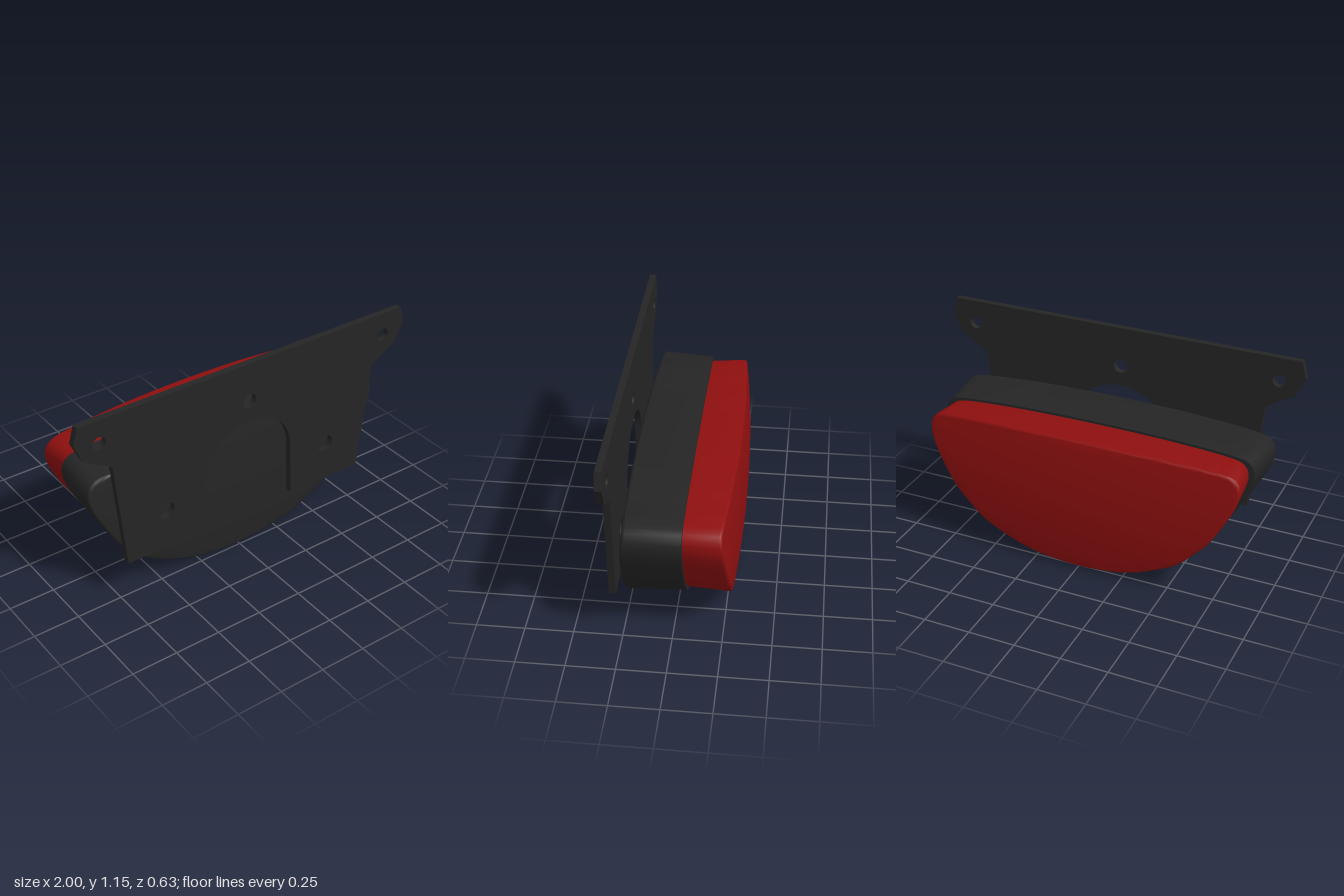
import * as THREE from 'three';
import { toCreasedNormals } from 'three/addons/utils/BufferGeometryUtils.js';

const HALF_W = 0.89, HALF_H = 0.39, MID_Y = 0.395;

// D-shaped lamp outline, anticlockwise, mirrored from its right half
function lampOutline() {
  const right = [[0.16, 0.015], [0.31, 0.043], [0.45, 0.1], [0.578, 0.171], [0.675, 0.267],
    [0.739, 0.337], [0.845, 0.52], [0.875, 0.59], [0.89, 0.655], [0.882, 0.71], [0.85, 0.742],
    [0.79, 0.756], [0.5, 0.776], [0.25, 0.783]];
  const left = right.map(([x, y]) => [-x, y]).reverse();
  const pts = [[0, 0.005], ...right, [0, 0.785], ...left];
  const curve = new THREE.CatmullRomCurve3(pts.map(([x, y]) => new THREE.Vector3(x, y, 0)), true);
  return curve.getSpacedPoints(144).slice(0, -1);
}

// Closed shell: flat base, flared wall, rounded rim and bowed face towards dir * z
function shell(outline, { base, baseScale, rimScale, crown, bowX, bowY, radius, dir }) {
  const ring = (scale, inset, zRule) => outline.map((p) => {
    const u = (p.x / HALF_W) * scale, v = ((p.y - MID_Y) / HALF_H) * scale;
    return new THREE.Vector3(u * (HALF_W - inset), MID_Y + v * (HALF_H - inset), zRule(u, v));
  });
  const face = (u, v) => crown - dir * (bowX * u * u + bowY * v * v);
  const rings = [ring(0, 0, () => base), ring(baseScale, 0, () => base)];
  for (let i = 0; i <= 5; i++) {
    const a = (i / 5) * Math.PI / 2;
    rings.push(ring(rimScale, radius * (1 - Math.cos(a)),
      (u, v) => face(u, v) - dir * radius * (1 - Math.sin(a))));
  }
  for (let i = 7; i >= 0; i--) rings.push(ring(rimScale * i / 8, radius, face));

  const pos = [];
  const tri = (a, b, c) => {
    if (a.equals(b) || b.equals(c) || a.equals(c)) return;
    for (const p of dir > 0 ? [a, b, c] : [a, c, b]) pos.push(p.x, p.y, p.z);
  };
  const n = outline.length;
  for (let i = 0; i < rings.length - 1; i++) {
    for (let j = 0; j < n; j++) {
      const k = (j + 1) % n;
      tri(rings[i][j], rings[i][k], rings[i + 1][k]);
      tri(rings[i][j], rings[i + 1][k], rings[i + 1][j]);
    }
  }
  const geo = new THREE.BufferGeometry();
  geo.setAttribute('position', new THREE.Float32BufferAttribute(pos, 3));
  return toCreasedNormals(geo, 0.7);
}

// Flat bracket with an arched slot and five bolt holes
function bracketGeometry() {
  const s = new THREE.Shape();
  s.moveTo(-0.285, 0.262);
  s.lineTo(-0.267, 0.58);
  s.bezierCurveTo(-0.267, 0.7, -0.16, 0.825, 0, 0.825);
  s.bezierCurveTo(0.16, 0.825, 0.267, 0.7, 0.267, 0.58);
  s.lineTo(0.285, 0.262);
  const edge = [[0.735, 0.262], [0.8, 0.87], [0.954, 0.965], [1, 1.065], [0.975, 1.157]];
  edge.forEach(([x, y]) => s.lineTo(x, y));
  [...edge].reverse().forEach(([x, y]) => s.lineTo(-x, y));
  s.closePath();
  const holes = [[0, 0.94, 0.04], [-0.863, 1.03, 0.035], [0.863, 1.03, 0.035],
    [-0.505, 0.49, 0.048], [0.505, 0.49, 0.048]];
  for (const [x, y, r] of holes) {
    s.holes.push(new THREE.Path().absarc(x, y, r, 0, Math.PI * 2, true));
  }
  const geo = new THREE.ExtrudeGeometry(s, { depth: 0.035, bevelEnabled: false, curveSegments: 20 });
  geo.translate(0, 0, 0.28);
  return toCreasedNormals(geo, 0.5);
}

export function createModel() {
  const black = new THREE.MeshStandardMaterial({ color: 0x252525 });
  black.name = 'black plastic';
  const red = new THREE.MeshStandardMaterial({ color: 0x8e0f0f });
  red.name = 'red lens';

  const group = new THREE.Group();
  group.name = 'tailLamp';
  const add = (name, geo, mat) => {
    const mesh = new THREE.Mesh(geo, mat);
    mesh.name = name;
    group.add(mesh);
  };

  const outline = lampOutline();
  add('mountingBracket', bracketGeometry(), black);
  add('lampHousing', shell(outline, {
    base: -0.06, baseScale: 0.977, rimScale: 1, crown: 0.26, bowX: 0.022, bowY: 0.018, radius: 0.018, dir: 1,
  }), black);
  add('lampLens', shell(outline, {
    base: -0.05, baseScale: 0.943, rimScale: 0.965, crown: -0.313, bowX: 0.045, bowY: 0.03, radius: 0.018, dir: -1,
  }), red);
  return group;
}
